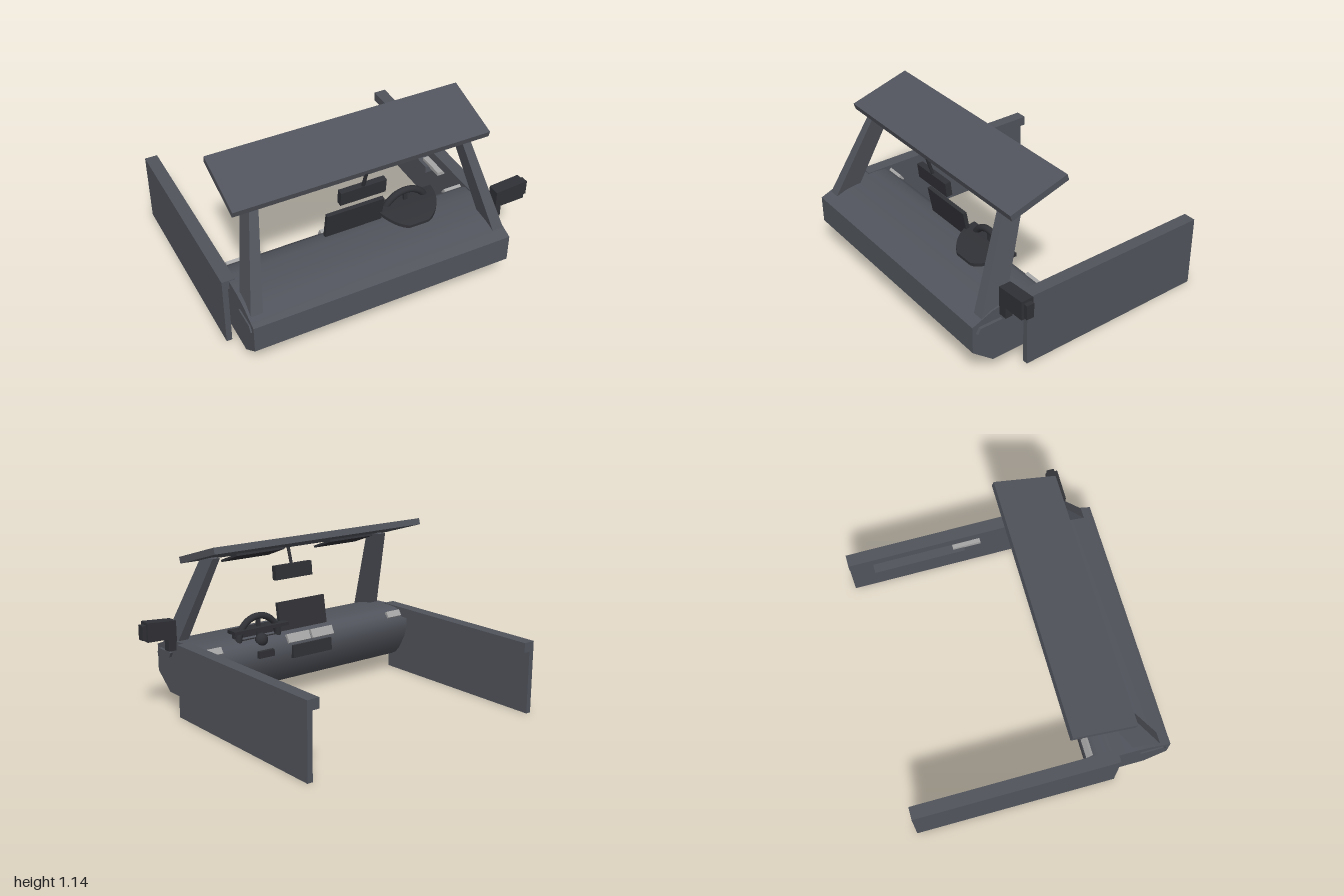
import * as THREE from 'three';
import { toCreasedNormals } from 'three/addons/utils/BufferGeometryUtils.js';

const MID = -0.09; // mirror plane of the dashboard
const body = new THREE.MeshStandardMaterial({ color: 0x51545c });
const dark = new THREE.MeshStandardMaterial({ color: 0x303136 });
const light = new THREE.MeshStandardMaterial({ color: 0xa5a5a5 });

export function createModel() {
  const group = new THREE.Group();

  function add(name, geometry, material, x = 0, y = 0, z = 0, tilt = 0) {
    const mesh = new THREE.Mesh(geometry, material);
    mesh.name = name;
    mesh.position.set(x, y, z);
    mesh.rotation.x = tilt;
    group.add(mesh);
    return mesh;
  }

  // Box from its limits on each axis
  function span(name, material, [x0, x1], [y0, y1], [z0, z1], tilt = 0) {
    return add(name, new THREE.BoxGeometry(x1 - x0, y1 - y0, z1 - z0), material,
      (x0 + x1) / 2, (y0 + y1) / 2, (z0 + z1) / 2, tilt);
  }

  // Moves every vertex by a rule
  function reshape(geometry, rule) {
    const p = geometry.attributes.position;
    const v = new THREE.Vector3();
    for (let i = 0; i < p.count; i++) {
      rule(v.fromBufferAttribute(p, i));
      p.setXYZ(i, v.x, v.y, v.z);
    }
    return toCreasedNormals(geometry, 0.6);
  }

  // Dashboard: side profile (z, y) swept across the width
  const profile = [
    [0.84, 0.22], [0.84, 0.4], [0.7, 0.455], [0.62, 0.468], [0.45, 0.475],
    [0.37, 0.468], [0.325, 0.44], [0.3, 0.4], [0.295, 0.34], [0.32, 0.26],
    [0.37, 0.17], [0.41, 0.125], [0.45, 0.105], [0.7, 0.105],
  ];
  const dashShape = new THREE.Shape(profile.map(([z, y]) => new THREE.Vector2(-z, y)));
  const dashGeometry = new THREE.ExtrudeGeometry(dashShape, { depth: 1.71, bevelEnabled: false });
  dashGeometry.rotateY(Math.PI / 2);
  add('dashboard', toCreasedNormals(dashGeometry, 0.75), body, -0.95);

  // Roof header panel
  add('roofHeader', new THREE.BoxGeometry(1.66, 0.042, 0.415), body, MID, 1.06, 0.355, 0.292);

  // Parts mirrored on both sides
  for (const s of [1, -1]) {
    // Leaning windscreen pillar, narrowing towards the top
    const pillar = reshape(new THREE.BoxGeometry(1, 1, 1), (v) => {
      const t = v.y + 0.5;
      v.set(
        s * THREE.MathUtils.lerp(0.81, 0.68, t) + v.x * THREE.MathUtils.lerp(0.075, 0.055, t),
        THREE.MathUtils.lerp(0.42, 1.02, t),
        THREE.MathUtils.lerp(0.695, 0.435, t) + v.z * THREE.MathUtils.lerp(0.16, 0.13, t));
    });
    add('windscreenPillar', pillar, body, MID);

    add('sunVisor', new THREE.BoxGeometry(0.365, 0.014, 0.19), dark,
      MID + s * 0.372, 1.0, 0.42, 0.36);

    // Slanted insert on the end of the dashboard
    const insert = reshape(new THREE.BoxGeometry(0.024, 0.035, 0.15), (v) => {
      v.z -= v.y * 0.6;
    });
    add('sideInsert', insert, body, MID + s * 0.857, 0.368, 0.73);

    add('sideVent', new THREE.BoxGeometry(0.12, 0.045, 0.02), light,
      MID + s * 0.75, 0.443, 0.322, 0.6);
    add('centreVent', new THREE.BoxGeometry(0.18, 0.06, 0.025), light,
      MID + s * 0.098, 0.43, 0.312, 0.5);

    // Door panel with its thicker top rail
    const outer = MID + s * 0.905;
    const range = (w) => (s > 0 ? [outer - w, outer] : [outer, outer + w]);
    span('doorPanel', body, range(0.036), [0, 0.42], [-0.835, 0.495]);
    span('doorRail', body, range(0.083), [0.415, 0.48], [-0.835, 0.495]);
  }

  // Armrest and handle on the left door
  span('armrest', body, [0.7, 0.785], [0.3, 0.35], [-0.675, -0.055]);
  span('doorHandle', light, [0.724, 0.785], [0.345, 0.37], [-0.13, 0.06]);

  // Inside mirror and its stem
  span('insideMirror', dark, [-0.24, 0.06], [0.785, 0.88], [0.48, 0.52], 0.1);
  add('mirrorStem', new THREE.CylinderGeometry(0.011, 0.011, 0.16, 8), dark, MID, 0.92, 0.525, 0.3);

  // Centre display and the controls below it
  add('centreScreen', new THREE.BoxGeometry(0.385, 0.2, 0.026), dark, MID, 0.555, 0.402, 0.17);
  span('controlPanel', dark, [-0.25, 0.07], [0.3, 0.385], [0.28, 0.33], 0.1);

  // Instrument hood: rounded in plan, rising to the rear
  const hood = reshape(new THREE.BoxGeometry(2, 0.022, 1, 16, 1, 12), (v) => {
    const t = v.z + 0.5;
    v.x *= 0.212 * Math.sqrt(Math.max(1 - t * t * 0.9, 0));
    v.y += 0.478 + 0.052 * (1 - t * t);
    v.z = 0.325 + 0.235 * t;
  });
  add('instrumentHood', hood, dark, 0.283);
  span('instrumentPanel', dark, [0.12, 0.45], [0.46, 0.51], [0.4, 0.43]);

  // Steering wheel, its lower half sunk into the dashboard
  const wheelY = 0.455, wheelZ = 0.37;
  add('steeringWheelRim', new THREE.TorusGeometry(0.153, 0.022, 12, 48), dark, 0.285, wheelY, wheelZ);
  for (const a of [0, Math.PI / 2, Math.PI]) {
    const spoke = new THREE.BoxGeometry(0.15, 0.026, 0.018);
    spoke.translate(0.075, 0, 0);
    spoke.rotateZ(a);
    add('steeringWheelSpoke', spoke, dark, 0.285, wheelY, wheelZ);
  }
  const hub = new THREE.SphereGeometry(0.045, 20, 12);
  hub.scale(1, 1, 0.8);
  add('steeringWheelHub', hub, dark, 0.285, wheelY, 0.335);
  span('columnCover', dark, [0.225, 0.345], [0.35, 0.395], [0.275, 0.32]);

  // Outside mirror on the left
  span('outsideMirrorMount', dark, [0.755, 0.815], [0.41, 0.51], [0.6, 0.65]);
  const housing = reshape(new THREE.BoxGeometry(0.205, 0.125, 0.08), (v) => {
    if (v.x < 0) v.y *= v.y > 0 ? 0.75 : 1.1;
  });
  add('outsideMirrorHousing', housing, dark, 0.87, 0.565, 0.62);
  span('outsideMirrorTip', dark, [0.96, 1.0], [0.515, 0.61], [0.595, 0.645]);

  return group;
}
